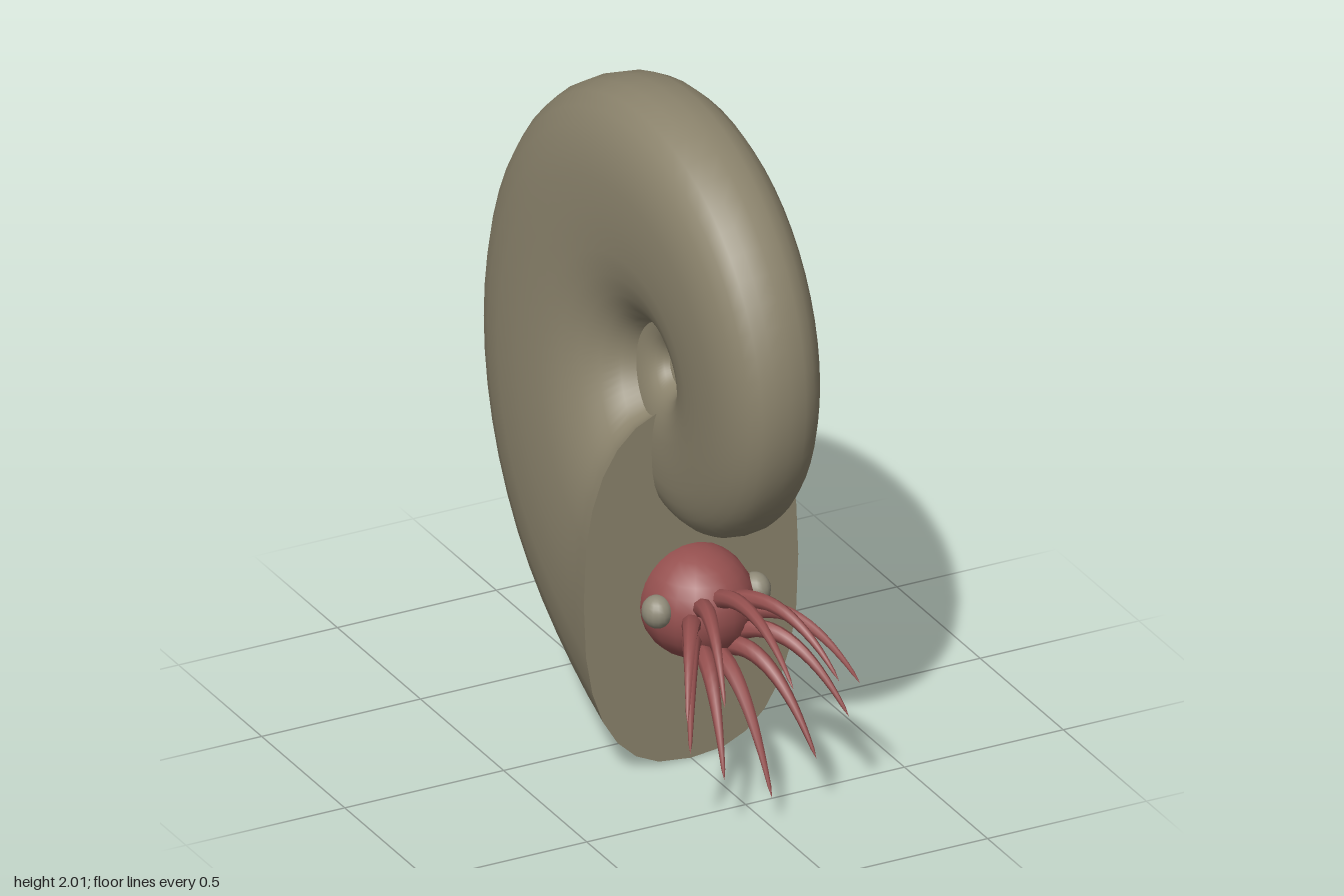
import * as THREE from 'three';

const CENTER_Y = 1.247, CENTER_Z = 0.172;   // axis of the coil
const WHORL = 2.58;                         // growth per turn
const SIDES = 28, STEPS = 56, TURNS = 3.25;

const shellMat = new THREE.MeshStandardMaterial({ name: 'shellTan', color: 0x8b836c });
const fleshMat = new THREE.MeshStandardMaterial({ name: 'fleshRed', color: 0x95504f });
const eyeMat = new THREE.MeshStandardMaterial({ name: 'eyeGrey', color: 0x8f8a78 });

function part(name, geometry, material, x = 0, y = 0, z = 0) {
  const mesh = new THREE.Mesh(geometry, material);
  mesh.name = name;
  mesh.position.set(x, y, z);
  return mesh;
}

const power = (v) => Math.sign(v) * Math.abs(v) ** 0.8;

// Point on the whorl: theta runs back from the opening, u round the section
function shellPoint(theta, u) {
  const s = WHORL ** (-theta / (2 * Math.PI));
  const flare = 1 + 0.055 * Math.max(0, 1 - theta / 0.44) ** 2;
  const r = s * (0.69 + 0.528 * flare * power(Math.cos(u)));
  return [
    s * 0.32 * flare * power(Math.sin(u)),
    CENTER_Y - r * Math.cos(theta),
    CENTER_Z - r * Math.sin(theta),
  ];
}

// Coiled shell: superellipse sections swept along a logarithmic spiral
function shellGeometry() {
  const positions = [], index = [];
  const rings = Math.round(STEPS * TURNS);
  for (let i = 0; i <= rings; i++) {
    for (let j = 0; j < SIDES; j++) {
      positions.push(...shellPoint((i / STEPS) * 2 * Math.PI, (j / SIDES) * 2 * Math.PI));
      if (i === rings) continue;
      const a = i * SIDES + j, c = i * SIDES + (j + 1) % SIDES;
      index.push(a, a + SIDES, c, a + SIDES, c + SIDES, c);
    }
  }
  const geometry = new THREE.BufferGeometry();
  geometry.setAttribute('position', new THREE.Float32BufferAttribute(positions, 3));
  geometry.setIndex(index);
  geometry.computeVertexNormals();
  return geometry;
}

// Flat wall closing the opening
function apertureGeometry() {
  const points = [];
  for (let j = 0; j < SIDES; j++) {
    const [x, y] = shellPoint(0, (j / SIDES) * 2 * Math.PI);
    points.push(new THREE.Vector2(x, y));
  }
  return new THREE.ShapeGeometry(new THREE.Shape(points));
}

// Tapered arm that arches forward and droops at the tip
function tentacleGeometry(base, tip) {
  const bend = base.clone().lerp(tip, 0.5);
  bend.y += 0.17;
  const curve = new THREE.QuadraticBezierCurve3(base, bend, tip);
  const segments = 14, radial = 8;
  const geometry = new THREE.TubeGeometry(curve, segments, 0.03, radial);
  const pos = geometry.attributes.position, v = new THREE.Vector3();
  for (let i = 0; i < pos.count; i++) {
    const t = Math.floor(i / (radial + 1)) / segments;
    const centre = curve.getPointAt(t);
    v.fromBufferAttribute(pos, i).sub(centre).multiplyScalar(1 - 0.88 * t).add(centre);
    if (t === 1) v.copy(centre);
    pos.setXYZ(i, v.x, v.y, v.z);
  }
  geometry.computeVertexNormals();
  return geometry;
}

export function createModel() {
  const model = new THREE.Group();
  model.name = 'coiledShellAnimal';

  model.add(part('shell', shellGeometry(), shellMat));
  model.add(part('aperture', apertureGeometry(), shellMat, 0, 0, CENTER_Z));

  // Head
  const head = part('head', new THREE.SphereGeometry(0.165, 18, 14), fleshMat, 0, 0.507, 0.2);
  head.scale.z = 1.1;
  model.add(head);

  // Funnel under the head
  const funnel = part('funnel', new THREE.CylinderGeometry(0.025, 0.04, 0.12, 10), fleshMat, 0, 0.375, 0.285);
  funnel.rotation.x = 2.2;
  model.add(funnel);

  // Eyes
  for (const side of [-1, 1]) {
    const eye = part(side > 0 ? 'leftEye' : 'rightEye', new THREE.SphereGeometry(0.048, 16, 12), eyeMat, side * 0.155, 0.533, 0.263);
    eye.scale.x = 0.9;
    model.add(eye);
  }

  // Ten arms in a ring, from the bottom up; the middle ones are mirrored
  const tips = [
    [0, 0.09, 0.66], [0.145, 0.175, 0.65], [0.25, 0.28, 0.645],
    [0.272, 0.39, 0.67], [0.18, 0.44, 0.72], [0, 0.485, 0.79],
  ];
  const tentacles = new THREE.Group();
  tentacles.name = 'tentacles';
  tips.forEach(([x, y, z], i) => {
    const angle = -Math.PI / 2 + (i * Math.PI) / 5;
    for (const side of x ? [-1, 1] : [1]) {
      const base = new THREE.Vector3(side * 0.085 * Math.cos(angle), 0.48 + 0.085 * Math.sin(angle), 0.33);
      tentacles.add(part('tentacle', tentacleGeometry(base, new THREE.Vector3(side * x, y, z)), fleshMat));
    }
  });
  model.add(tentacles);

  return model;
}
